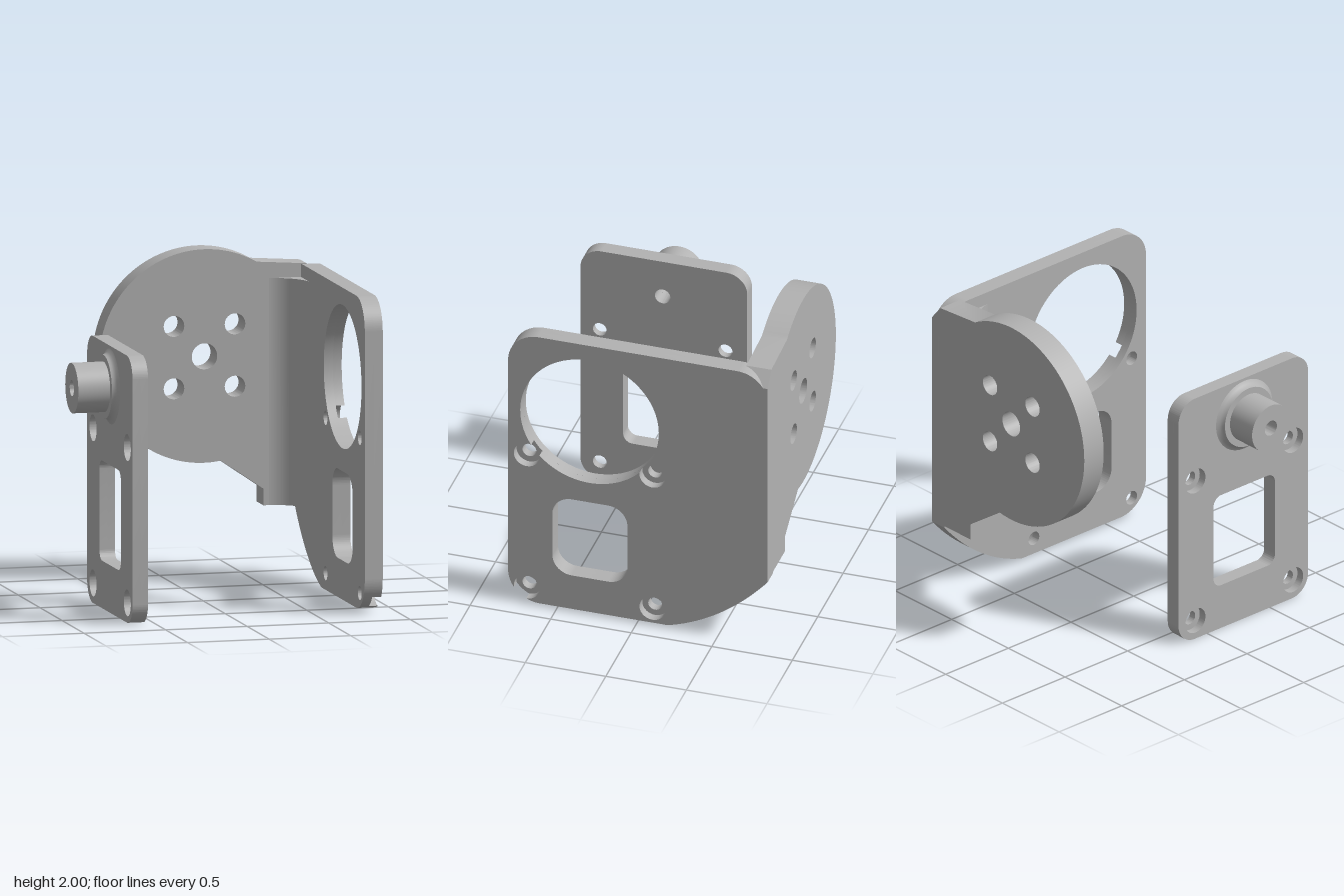
import * as THREE from 'three';
import { toCreasedNormals } from 'three/addons/utils/BufferGeometryUtils.js';

const PI = Math.PI;
const BOLTS = [[0.685, 1.05], [-0.095, 1.05], [0.685, 0.12], [-0.095, 0.12]];
const BOLT_R = 0.043, BORE_R = 0.08;
const AXIS = [0.295, 1.357]; // z, y of the bearing axis

const circle = (x, y, r) => new THREE.Path().absarc(x, y, r, 0, PI * 2, false);

// Rectangle with rounded corners, counter-clockwise
function rounded(path, x0, y0, x1, y1, r) {
  path.absarc(x1 - r, y0 + r, r, -PI / 2, 0, false);
  path.absarc(x1 - r, y1 - r, r, 0, PI / 2, false);
  path.absarc(x0 + r, y1 - r, r, PI / 2, PI, false);
  path.absarc(x0 + r, y0 + r, r, PI, PI * 1.5, false);
  path.closePath();
  return path;
}

// Where a small circle n crosses a larger circle c: direction and half angles
function crossing(c, R, n, r) {
  const dx = n[0] - c[0], dy = n[1] - c[1], d = Math.hypot(dx, dy);
  return {
    phi: Math.atan2(dy, dx),
    a: Math.acos((R * R + d * d - r * r) / (2 * R * d)),
    b: Math.acos((r * r + d * d - R * R) / (2 * r * d)),
  };
}

function extrude(shape, depth) {
  const geo = new THREE.ExtrudeGeometry(shape, { depth, bevelEnabled: false, curveSegments: 40 });
  return toCreasedNormals(geo, 0.5);
}

// Outline of the side plate in (z, y); the outer layer has a counterbore cutting the front corner
function sideOutline(notched) {
  const s = new THREE.Shape();
  const c = [0.6, 0.22], R = 0.2;
  s.moveTo(-0.19, 0.02);
  if (notched) {
    const n = BOLTS[2], k = crossing(c, R, n, BORE_R);
    s.absarc(...c, R, -PI / 2, k.phi - k.a, false);
    s.absarc(...n, BORE_R, k.phi + PI + k.b, k.phi + PI - k.b, true);
    s.absarc(...c, R, k.phi + k.a, 0, false);
  } else {
    s.absarc(...c, R, -PI / 2, 0, false);
  }
  s.absarc(0.61, 1.7, 0.19, 0, PI / 2, false);
  s.absarc(-0.62, 1.7, 0.19, PI / 2, PI, false);
  s.lineTo(-0.81, 0.44);
  s.quadraticCurveTo(-0.53, 0.11, -0.19, 0.02);
  s.holes.push(rounded(new THREE.Path(), 0.06, 0.255, 0.525, 0.79, 0.12));
  return s;
}

// Large opening, joined to the two upper counterbores
function notchedOpening(R) {
  const p = new THREE.Path();
  const [n1, n2] = BOLTS;
  const k1 = crossing(AXIS, R, n1, BORE_R), k2 = crossing(AXIS, R, n2, BORE_R);
  p.absarc(...AXIS, R, k1.phi + k1.a, k2.phi - k2.a + PI * 2, false);
  p.absarc(...n2, BORE_R, k2.phi + PI + k2.b, k2.phi + PI * 3 - k2.b, false);
  p.absarc(...AXIS, R, k2.phi + k2.a, k1.phi - k1.a, false);
  p.absarc(...n1, BORE_R, k1.phi + PI + k1.b, k1.phi + PI * 3 - k1.b, false);
  return p;
}

export function createModel() {
  const model = new THREE.Group();
  const metal = new THREE.MeshStandardMaterial({ color: 0xb2b2b2 });
  metal.name = 'grey';

  const add = (name, geo, parent) => {
    const m = new THREE.Mesh(geo, metal);
    m.name = name;
    parent.add(m);
    return m;
  };
  // Plate drawn in (z, y) between two x values
  const addPlate = (name, shape, x0, x1, parent) => {
    const m = add(name, extrude(shape, x1 - x0), parent);
    m.rotation.y = -PI / 2;
    m.position.x = x1;
  };

  const bracket = new THREE.Group();
  bracket.name = 'angleBracket';
  const support = new THREE.Group();
  support.name = 'bearingPlate';
  model.add(bracket, support);

  // Side plate: inner layer with bolt holes, outer layer with counterbores
  const inner = sideOutline(false);
  inner.holes.push(circle(...AXIS, 0.43), ...BOLTS.map(b => circle(...b, BOLT_R)));
  addPlate('sidePlateInner', inner, 0.775, 0.83, bracket);
  const outer = sideOutline(true);
  outer.holes.push(notchedOpening(0.43), circle(...BOLTS[3], BORE_R));
  addPlate('sidePlateOuter', outer, 0.83, 0.885, bracket);

  // Back plate: disc running into the corner of the bracket
  const back = new THREE.Shape();
  back.absarc(0.18, 1.36, 0.64, Math.atan2(0.555, 0.325), PI * 2 - 1.406, false);
  for (const p of [[0.545, 0.55], [0.545, 0.45], [0.885, 0.45], [0.885, 1.8], [0.81, 1.89]]) back.lineTo(...p);
  back.closePath();
  back.holes.push(circle(0.184, 1.358, 0.078));
  for (const x of [-0.003, 0.371]) for (const y of [1.171, 1.545]) back.holes.push(circle(x, y, 0.063));
  add('backPlate', extrude(back, 0.155), bracket).position.z = -0.81;

  // Concave fillet inside the corner
  const fillet = new THREE.Shape();
  fillet.moveTo(0.78, 0.66);
  fillet.lineTo(0.56, 0.66);
  fillet.absarc(0.56, 0.44, 0.216, PI / 2, 0, true);
  fillet.lineTo(0.78, 0.44);
  fillet.closePath();
  const f = add('cornerFillet', extrude(fillet, 1.36), bracket);
  f.rotation.x = -PI / 2;
  f.position.y = 0.45;

  // Bearing plate: outer layer is on the -x side
  const layers = [['plateOuter', -0.65, -0.6, BORE_R], ['plateInner', -0.6, -0.555, BOLT_R]];
  for (const [name, x0, x1, r] of layers) {
    const s = rounded(new THREE.Shape(), -0.23, 0, 0.805, 1.6, 0.13);
    s.holes.push(rounded(new THREE.Path(), 0.05, 0.285, 0.54, 0.885, 0.06));
    s.holes.push(circle(...AXIS, 0.048), ...BOLTS.map(b => circle(...b, r)));
    addPlate(name, s, x0, x1, support);
  }

  // Hollow boss with a flared collar
  const profile = [[0.048, 0], [0.225, 0], [0.205, 0.012], [0.194, 0.026], [0.19, 0.04],
    [0.15, 0.04], [0.15, 0.235], [0.048, 0.235], [0.048, 0]].map(p => new THREE.Vector2(...p));
  const boss = add('boss', toCreasedNormals(new THREE.LatheGeometry(profile, 64), 0.6), support);
  boss.rotation.z = PI / 2;
  boss.position.set(-0.65, AXIS[1], AXIS[0]);

  return model;
}
